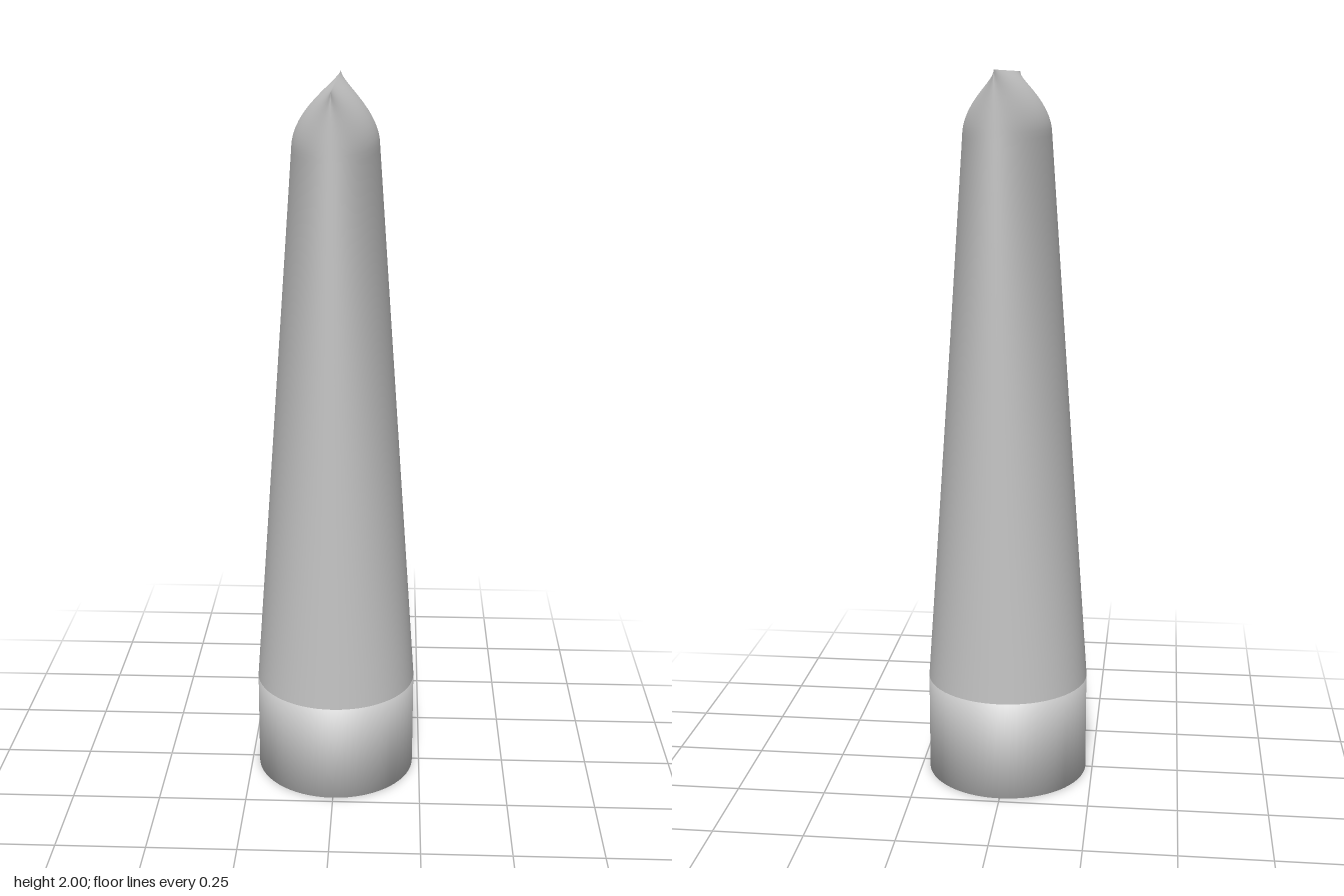
import * as THREE from 'three';
import { mergeVertices } from 'three/addons/utils/BufferGeometryUtils.js';

const SIDES = 64;
const RADIUS = 0.23;
const CAP_TOP = 0.285;
const SHOULDER = 1.83;

// Skin a stack of closed elliptical rings [y, radiusX, radiusZ] with smooth normals
function loft(rings) {
  const positions = [];
  const indices = [];
  rings.forEach(([y, rx, rz], j) => {
    for (let i = 0; i < SIDES; i++) {
      const angle = (i / SIDES) * Math.PI * 2;
      positions.push(rx * Math.cos(angle), y, rz * Math.sin(angle));
      if (j === rings.length - 1) continue;
      const a = j * SIDES + i;
      const b = j * SIDES + (i + 1) % SIDES;
      indices.push(a, a + SIDES, b, b, a + SIDES, b + SIDES);
    }
  });
  const geometry = new THREE.BufferGeometry();
  geometry.setAttribute('position', new THREE.Float32BufferAttribute(positions, 3));
  geometry.setIndex(indices);
  geometry.computeVertexNormals();
  return geometry;
}

export function createModel() {
  const model = new THREE.Group();
  model.name = 'squeezeTube';
  const material = new THREE.MeshStandardMaterial({ color: 0xcccccc, side: THREE.DoubleSide });

  // Cap: a closed cylinder whose normals blend softly over its rims
  let capGeometry = new THREE.CylinderGeometry(RADIUS, RADIUS, CAP_TOP, SIDES);
  capGeometry.deleteAttribute('uv');
  capGeometry.deleteAttribute('normal');
  capGeometry = mergeVertices(capGeometry);
  capGeometry.computeVertexNormals();
  const cap = new THREE.Mesh(capGeometry, material);
  cap.name = 'cap';
  cap.position.y = CAP_TOP / 2;
  model.add(cap);

  // Body: round at the cap, flattening and widening towards the shoulder
  const rings = [];
  for (let k = 0; k < 12; k++) {
    const t = k / 12;
    rings.push([
      THREE.MathUtils.lerp(CAP_TOP, SHOULDER, t),
      THREE.MathUtils.lerp(RADIUS, 0.117, t),
      THREE.MathUtils.lerp(RADIUS, 0.319, t),
    ]);
  }
  // Crimp: the shoulder curves in to a straight sealed edge
  for (let k = 0; k <= 10; k++) {
    const t = k / 10;
    rings.push([SHOULDER + (2 - SHOULDER) * t, 0.117 * (1 - t * t), 0.319 + 0.011 * t]);
  }
  const body = new THREE.Mesh(loft(rings), material);
  body.name = 'tubeBody';
  model.add(body);

  return model;
}
